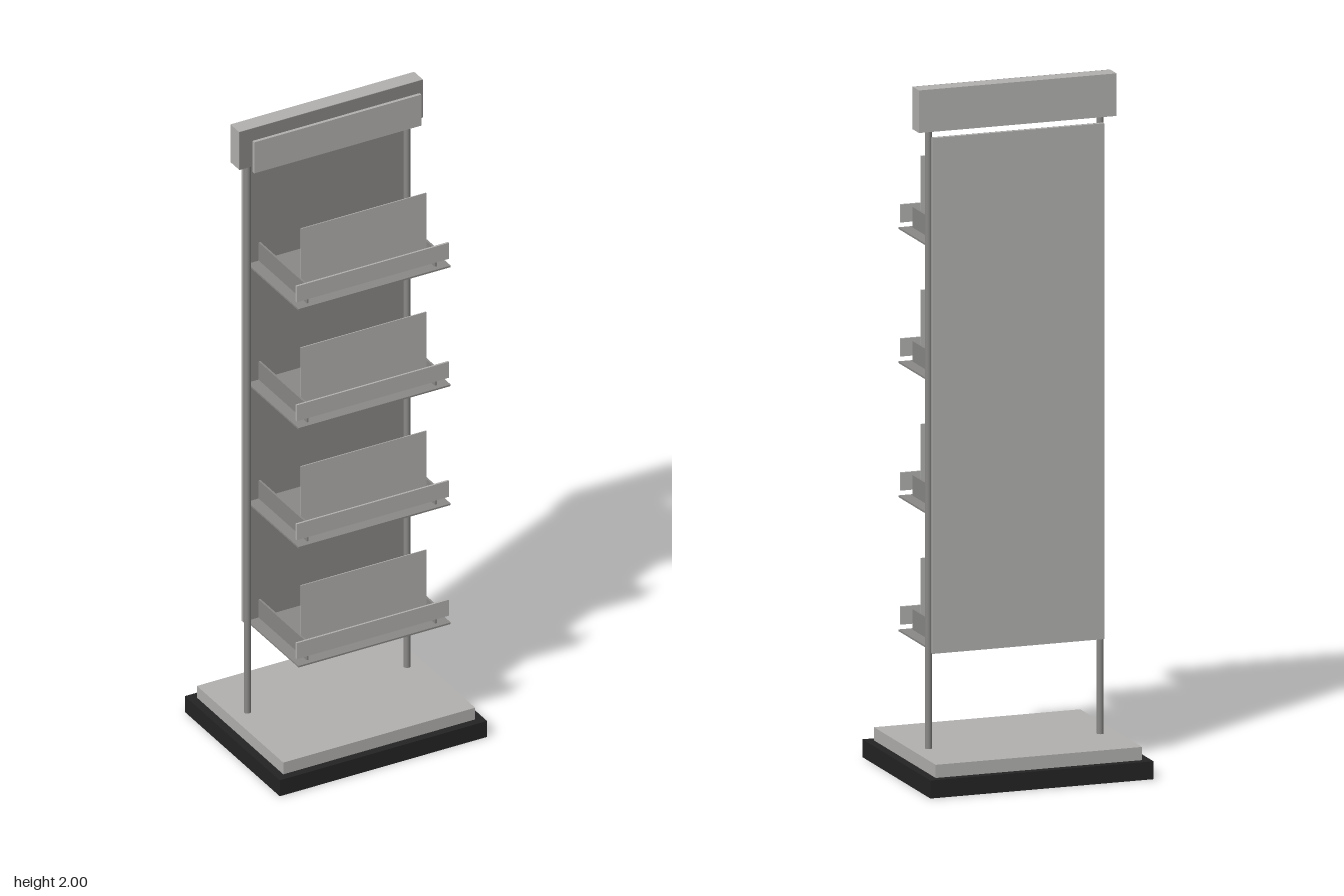
import * as THREE from 'three';

export function createModel() {
  const root = new THREE.Group();
  const mat = (name, color) => Object.assign(new THREE.MeshStandardMaterial({ color }), { name });
  const light = mat('light grey', 0xb2b1af);
  const dark = mat('mid grey', 0x8a8987);
  const black = mat('black', 0x242424);

  // Box given by its min/max ranges
  function box(parent, name, material, [x0, x1], [y0, y1], [z0, z1]) {
    const mesh = new THREE.Mesh(new THREE.BoxGeometry(x1 - x0, y1 - y0, z1 - z0), material);
    mesh.position.set((x0 + x1) / 2, (y0 + y1) / 2, (z0 + z1) / 2);
    mesh.name = name;
    parent.add(mesh);
    return mesh;
  }
  const sym = (h) => [-h, h];

  // Hollow foot: a lid on thin side walls, open underneath
  const base = new THREE.Group();
  base.name = 'base';
  root.add(base);
  box(base, 'baseLid', black, sym(0.335), [0.046, 0.052], sym(0.27));
  for (const s of [-1, 1]) {
    const side = box(base, 'baseSide', black, sym(0.003), [0, 0.046], sym(0.27));
    side.position.x = s * 0.332;
    const end = box(base, 'baseEnd', black, sym(0.329), [0, 0.046], sym(0.003));
    end.position.z = s * 0.267;
  }
  box(root, 'plinth', light, sym(0.31), [0.052, 0.09], sym(0.246));

  // Upright tubes
  for (const s of [-1, 1]) {
    const post = new THREE.Mesh(new THREE.CylinderGeometry(0.01, 0.01, 1.79, 20), dark);
    post.position.set(s * 0.258, 0.985, -0.05);
    post.name = 'post';
    root.add(post);
  }

  // Back panel, light behind and darker toward the shelves
  box(root, 'backPanel', light, sym(0.258), [0.37, 1.86], [-0.083, -0.073]);
  box(root, 'backPanelFace', dark, sym(0.258), [0.37, 1.86], [-0.073, -0.071]);

  // Header with a darker face and a floating sign board
  box(root, 'header', light, sym(0.297), [1.877, 2], [-0.078, -0.029]);
  box(root, 'headerFace', dark, sym(0.297), [1.877, 2], [-0.029, -0.027]);
  box(root, 'signBoard', light, sym(0.27), [1.877, 1.978], [0, 0.01]);

  // Four trays: floor, inset side walls, front lip and upright card
  for (let i = 0; i < 4; i++) {
    const shelf = new THREE.Group();
    shelf.name = 'shelf';
    shelf.position.y = 0.368 + i * 0.3873;
    root.add(shelf);
    box(shelf, 'shelfFloor', dark, sym(0.246), [0, 0.005], [-0.071, 0.22]);
    for (const s of [-1, 1]) {
      const wall = box(shelf, 'shelfWall', dark, sym(0.003), [0.005, 0.064], [-0.071, 0.204]);
      wall.position.x = s * 0.207;
    }
    box(shelf, 'frontLip', light, sym(0.246), [0.022, 0.074], [0.204, 0.21]);
    box(shelf, 'card', light, sym(0.203), [0.005, 0.222], [0.154, 0.157]);
  }
  return root;
}
